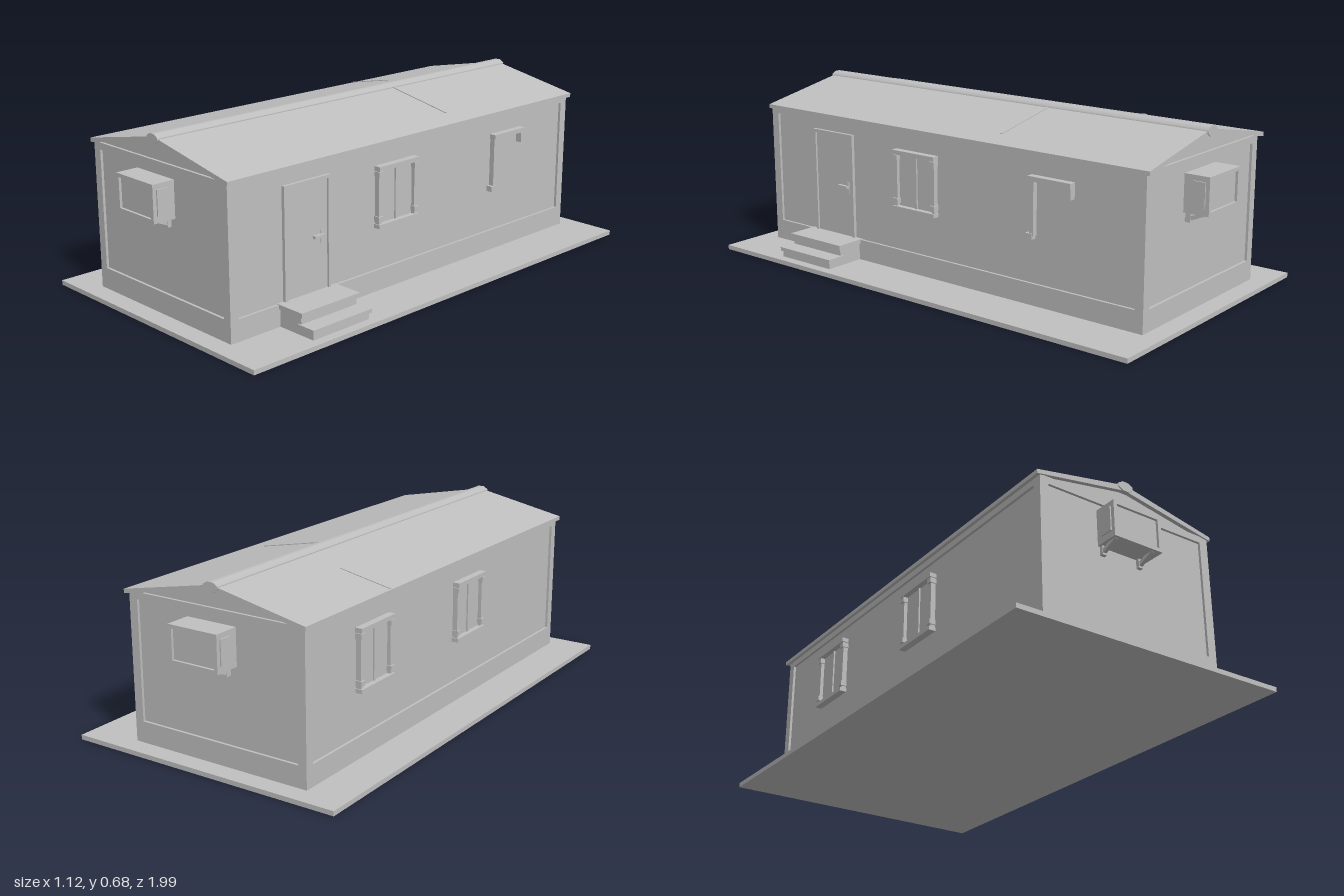
import * as THREE from 'three';

const grey = new THREE.MeshStandardMaterial({ color: 0xc0c0c0 });
grey.name = 'plain grey';

export function createModel() {
  const model = new THREE.Group();
  model.name = 'cabin';

  const add = (parent, name, geometry) => {
    const mesh = new THREE.Mesh(geometry, grey);
    mesh.name = name;
    parent.add(mesh);
    return mesh;
  };
  // Box given by its limits on each axis
  const box = (parent, name, x0, x1, y0, y1, z0, z1) => {
    const mesh = add(parent, name, new THREE.BoxGeometry(x1 - x0, y1 - y0, z1 - z0));
    mesh.position.set((x0 + x1) / 2, (y0 + y1) / 2, (z0 + z1) / 2);
    return mesh;
  };
  // Outline in x and y, extruded from z0 to z1
  const prism = (parent, name, points, z0, z1, hole) => {
    const shape = new THREE.Shape(points.map(([x, y]) => new THREE.Vector2(x, y)));
    if (hole) shape.holes.push(new THREE.Path(hole.map(([x, y]) => new THREE.Vector2(x, y))));
    const mesh = add(parent, name, new THREE.ExtrudeGeometry(shape, { depth: z1 - z0, bevelEnabled: false }));
    mesh.position.z = z0;
    return mesh;
  };
  const group = (name) => {
    const g = new THREE.Group();
    g.name = name;
    model.add(g);
    return g;
  };

  const L = -0.4, R = 0.355, E = 0.91, MID = -0.0225, RIDGE = -0.03;

  // Ground slab
  box(model, 'baseSlab', -0.56, 0.56, 0, 0.018, -0.985, 0.985);

  // Wall core, with the trim standing proud of it
  const walls = group('walls');
  prism(walls, 'wallCore', [[L + 0.01, 0.015], [R - 0.01, 0.015], [R - 0.01, 0.58], [RIDGE, 0.652], [L + 0.01, 0.58]],
    -E + 0.01, E - 0.01);
  box(walls, 'plinth', L, R, 0.015, 0.1, -E, E);
  box(walls, 'topTrim', L, R, 0.555, 0.582, -E, E);
  for (const z of [-1, 1]) {
    for (const x of [-1, 1]) {
      const cx = MID + x * ((R - L) / 2 - 0.0175);
      const cz = z * (E - 0.0175);
      box(walls, 'cornerPost', cx - 0.0175, cx + 0.0175, 0.1, 0.56, cz - 0.0175, cz + 0.0175);
    }
  }

  // Low gable roof
  const roof = group('roof');
  prism(roof, 'roofPanels', [[-0.415, 0.576], [RIDGE, 0.645], [0.365, 0.574], [0.365, 0.59], [RIDGE, 0.668], [-0.415, 0.592]],
    -0.926, 0.916);
  const cap = add(roof, 'ridgeCap', new THREE.CylinderGeometry(1, 1, 1.85, 8).rotateY(Math.PI / 8).rotateX(Math.PI / 2));
  cap.scale.set(0.033, 0.02, 1);
  cap.position.set(RIDGE, 0.66, -0.005);
  // Overlapping sheet joints on each slope
  const seam = (x0, y0, x1, y1, z) =>
    prism(roof, 'roofSeam', [[x0, y0], [x1, y1], [x1, y1 + 0.004], [x0, y0 + 0.004]], z - 0.004, z + 0.004);
  seam(-0.41, 0.592, -0.2, 0.633, -0.42);
  seam(0.0, 0.661, 0.28, 0.606, -0.24);

  // Box units with sunken fronts and sloping brackets at both ends
  for (const dir of [1, -1]) {
    const unit = group(dir > 0 ? 'frontCoolingUnit' : 'backCoolingUnit');
    const w = 0.105, y0 = 0.39, y1 = 0.53, f = 0.014;
    prism(unit, 'unitCase', [[-w, y0], [w, y0], [w, y1], [-w, y1]], 0.89, 0.99,
      [[-w + f, y0 + f], [-w + f, y1 - f], [w - f, y1 - f], [w - f, y0 + f]]);
    box(unit, 'unitFront', -w + 0.005, w - 0.005, y0 + 0.005, y1 - 0.005, 0.895, 0.98);
    for (const s of [-1, 1]) {
      box(unit, 'sideVent', s * w - 0.005, s * w + 0.005, y0 + 0.025, y1 - 0.02, 0.925, 0.975);
      const bracket = add(unit, 'bracket', new THREE.BoxGeometry(0.014, 0.014, 0.09));
      bracket.position.set(s * 0.08 - 0.008, 0.378, 0.932);
      bracket.rotation.x = -0.4;
      box(unit, 'bracketFoot', s * 0.08 - 0.017, s * 0.08 + 0.001, 0.355, 0.395, 0.895, 0.914);
    }
    unit.rotation.y = dir > 0 ? 0 : Math.PI;
    unit.position.set(dir > 0 ? -0.047 : -0.005, 0, dir > 0 ? 0 : -0.01);
  }

  // Windows: frame, two panes, thick head and sill
  const addWindow = (name, side, z0, z1) => {
    const g = group(name);
    const wall = side > 0 ? R - 0.01 : L + 0.01;
    const bar = (part, out, y0, y1, a, b) => {
      const edge = wall + side * out;
      box(g, part, Math.min(wall - side * 0.01, edge), Math.max(wall - side * 0.01, edge), y0, y1, a, b);
    };
    bar('pane', 0.006, 0.27, 0.49, z0 + 0.01, z1 - 0.01);
    bar('head', 0.028, 0.483, 0.5, z0, z1);
    bar('sill', 0.028, 0.265, 0.28, z0, z1);
    bar('jamb', 0.02, 0.28, 0.483, z0 + 0.004, z0 + 0.018);
    bar('jamb', 0.02, 0.28, 0.483, z1 - 0.018, z1 - 0.004);
    bar('mullion', 0.012, 0.28, 0.483, (z0 + z1) / 2 - 0.005, (z0 + z1) / 2 + 0.005);
    for (const y of [0.29, 0.46]) {
      bar('frameClip', 0.026, y, y + 0.02, z0, z0 + 0.022);
      bar('frameClip', 0.026, y, y + 0.02, z1 - 0.022, z1);
    }
  };
  addWindow('rightWindow', 1, 0.01, 0.22);
  addWindow('leftFrontWindow', -1, 0.05, 0.26);
  addWindow('leftBackWindow', -1, -0.61, -0.4);

  // Partial window surround toward the back
  const surround = group('partialSurround');
  box(surround, 'head', 0.335, 0.373, 0.482, 0.5, -0.615, -0.43);
  box(surround, 'longJamb', 0.335, 0.366, 0.28, 0.49, -0.452, -0.434);
  box(surround, 'jambFoot', 0.335, 0.37, 0.268, 0.29, -0.448, -0.42);
  box(surround, 'shortJamb', 0.335, 0.37, 0.44, 0.49, -0.615, -0.597);

  // Door with frame and lever handle
  const door = group('door');
  box(door, 'doorLeaf', 0.33, 0.35, 0.1, 0.51, 0.46, 0.655);
  box(door, 'doorJamb', 0.33, 0.358, 0.1, 0.52, 0.655, 0.667);
  box(door, 'doorJamb', 0.33, 0.358, 0.1, 0.52, 0.45, 0.461);
  box(door, 'doorHead', 0.33, 0.358, 0.508, 0.52, 0.45, 0.667);
  box(door, 'handlePlate', 0.345, 0.354, 0.275, 0.325, 0.478, 0.494);
  box(door, 'handleLever', 0.345, 0.364, 0.3, 0.31, 0.48, 0.53);

  // Two steps with overhanging treads
  const steps = group('steps');
  box(steps, 'upperStep', 0.34, 0.462, 0.015, 0.09, 0.425, 0.69);
  box(steps, 'upperTread', 0.34, 0.472, 0.085, 0.102, 0.418, 0.696);
  box(steps, 'lowerStep', 0.45, 0.522, 0.015, 0.05, 0.425, 0.69);
  box(steps, 'lowerTread', 0.45, 0.53, 0.043, 0.058, 0.418, 0.696);

  return model;
}
